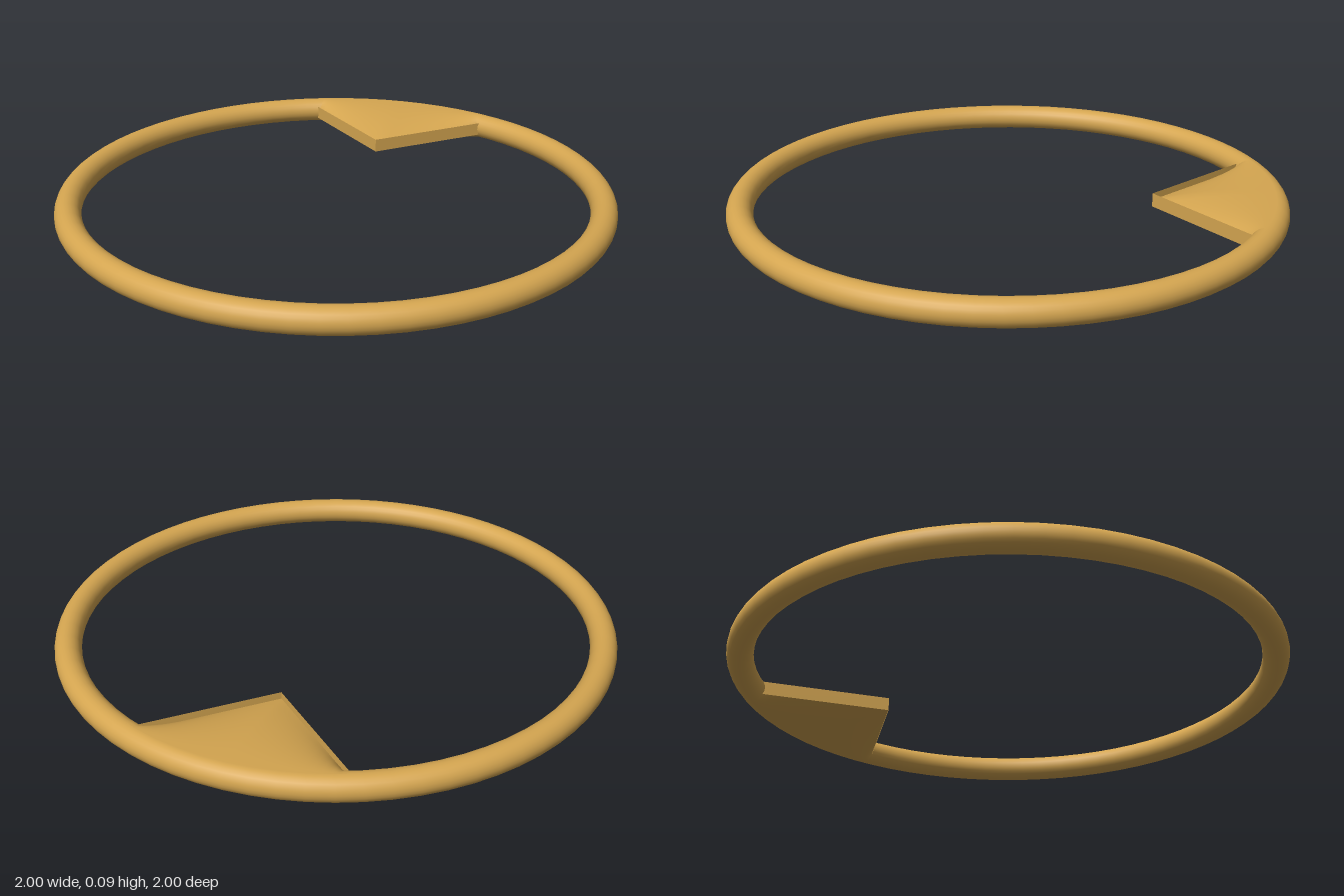
import * as THREE from 'three';

const TUBE = 0.047, RADIUS = 0.953, MID = 0.047;
const TIP_Z = -0.52, CORNER_X = 0.372, CORNER_Z = -0.86;
const SPREAD = Math.atan2(CORNER_X, -CORNER_Z);

const material = new THREE.MeshStandardMaterial({ color: 0xd4a550, side: THREE.DoubleSide });

// Grid surface from point(u, v); front side faces dv x du
function loft(point, u0, u1, nu, nv, flip = false) {
  const positions = [], indices = [];
  for (let i = 0; i <= nu; i++) {
    for (let j = 0; j <= nv; j++) positions.push(...point(u0 + (u1 - u0) * i / nu, j / nv));
  }
  for (let i = 0; i < nu; i++) {
    for (let j = 0; j < nv; j++) {
      const a = i * (nv + 1) + j, b = a + 1, c = a + nv + 1, d = c + 1;
      if (flip) indices.push(a, c, b, b, c, d);
      else indices.push(a, b, c, b, d, c);
    }
  }
  const geometry = new THREE.BufferGeometry();
  geometry.setAttribute('position', new THREE.Float32BufferAttribute(positions, 3));
  geometry.setIndex(indices);
  geometry.computeVertexNormals();
  return geometry;
}

// V-shaped inner edge of the wedge, u from -1 to 1
const edge = (u) => [CORNER_X * u, TIP_Z + (CORNER_Z - TIP_Z) * Math.abs(u)];

// Sheet curving from the crest of the ring to the V edge
function sheet(ringY, edgeY) {
  return (u, v) => {
    const a = u * SPREAD, [ex, ez] = edge(u);
    const rx = RADIUS * Math.sin(a), rz = -RADIUS * Math.cos(a);
    return [rx + (ex - rx) * v, ringY + (edgeY - ringY) * v * v, rz + (ez - rz) * v];
  };
}

// Upright lip along the V edge
const lip = (u, v) => {
  const [x, z] = edge(u);
  return [x, MID + 0.025 - 0.05 * v, z];
};

export function createModel() {
  const model = new THREE.Group();
  const add = (name, geometry, parent = model) => {
    const mesh = new THREE.Mesh(geometry, material);
    mesh.name = name;
    parent.add(mesh);
    return mesh;
  };

  // Round hoop lying flat
  const ring = add('ring', new THREE.TorusGeometry(RADIUS, TUBE, 24, 72));
  ring.rotation.x = Math.PI / 2;
  ring.position.y = MID;

  // Pointed wedge at the back of the hoop
  const wedge = new THREE.Group();
  wedge.name = 'wedge';
  model.add(wedge);
  add('wedgeTop', loft(sheet(MID + TUBE, MID), -1, 1, 24, 10), wedge);
  add('wedgeUnderside', loft(sheet(MID - TUBE, MID - 0.02), -1, 1, 24, 10, true), wedge);
  add('rightLip', loft(lip, -1, 0, 1, 1), wedge);
  add('leftLip', loft(lip, 0, 1, 1, 1), wedge);

  return model;
}
